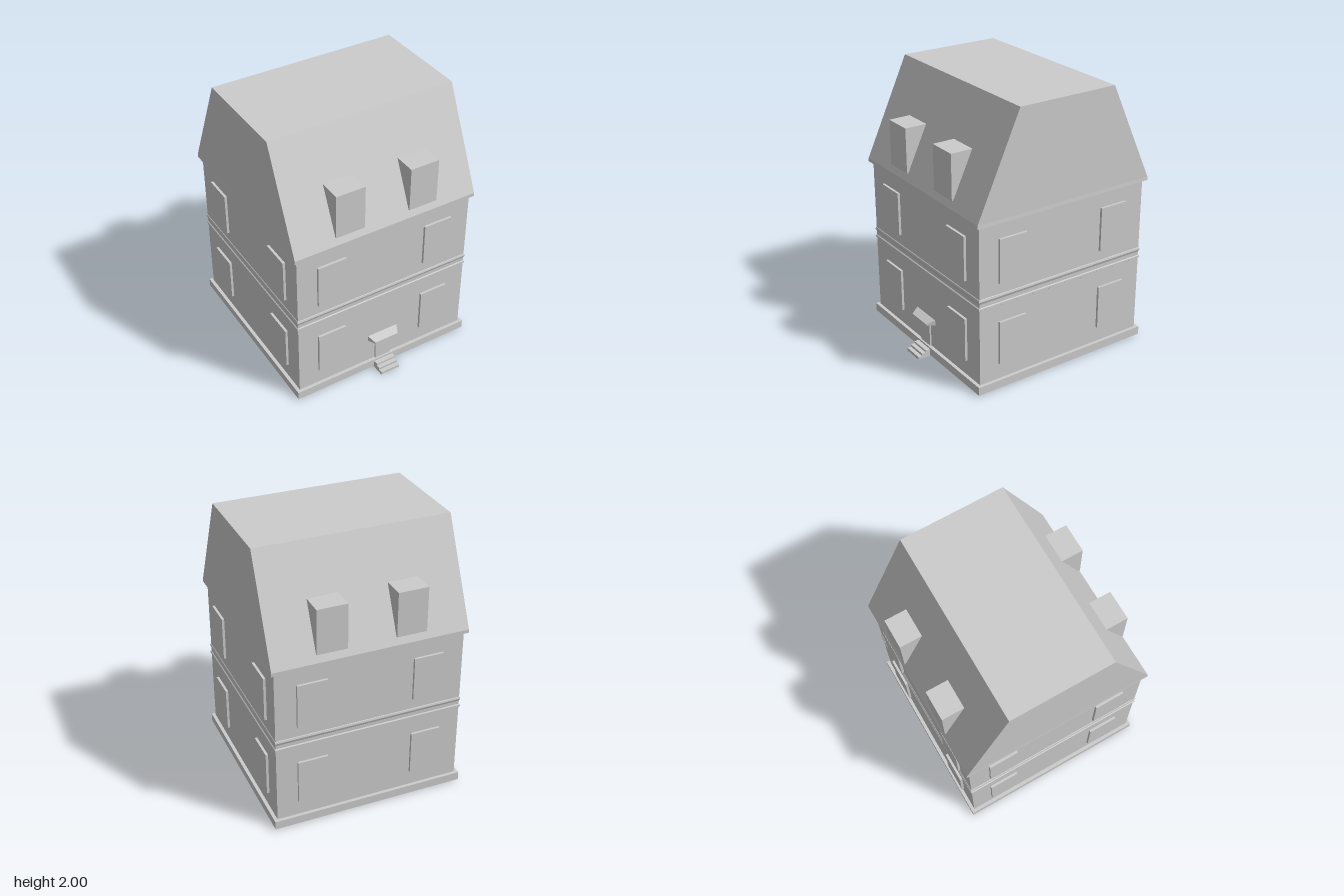
import * as THREE from 'three';

const mat = new THREE.MeshStandardMaterial({ color: 0xcccccc, flatShading: true, side: THREE.DoubleSide });
const WALL = 0.688;   // half width of the square body
const CZ = -0.046;    // body centre in z

function add(parent, name, geometry) {
  const mesh = new THREE.Mesh(geometry, mat);
  mesh.name = name;
  parent.add(mesh);
  return mesh;
}

// Shell through rectangular rings [halfX, halfZ, y], optionally closed on top
function band(rings, capTop = false) {
  const pos = [];
  const corner = ([hx, hz, y], i) => [[hx, y, hz], [hx, y, -hz], [-hx, y, -hz], [-hx, y, hz]][i % 4];
  const quad = (a, b, c, d) => pos.push(...a, ...b, ...c, ...a, ...c, ...d);
  for (let r = 0; r < rings.length - 1; r++) {
    for (let i = 0; i < 4; i++) {
      quad(corner(rings[r], i), corner(rings[r], i + 1), corner(rings[r + 1], i + 1), corner(rings[r + 1], i));
    }
  }
  if (capTop) quad(...[0, 1, 2, 3].map((i) => corner(rings[rings.length - 1], i)));
  const g = new THREE.BufferGeometry();
  g.setAttribute('position', new THREE.Float32BufferAttribute(pos, 3));
  g.computeVertexNormals();
  return g;
}

// Square moulding from [offset from wall, y] pairs
const moulding = (profile) => band(profile.map(([o, y]) => [WALL + o, WALL + o, y]));

function rectPath(path, x0, y0, x1, y1) {
  path.moveTo(x0, y0).lineTo(x1, y0).lineTo(x1, y1).lineTo(x0, y1).closePath();
  return path;
}

// Side profile [z, y] extruded along x, centred on x = 0
function extrudeX(points, width) {
  const shape = new THREE.Shape(points.map(([z, y]) => new THREE.Vector2(-z, y)));
  const g = new THREE.ExtrudeGeometry(shape, { depth: width, bevelEnabled: false });
  g.translate(0, 0, -width / 2);
  g.rotateY(Math.PI / 2);
  return g;
}

// One facade facing +z: wall with openings and raised hollow window panels
function facade(name) {
  const group = new THREE.Group();
  group.name = name;
  const shape = rectPath(new THREE.Shape(), -WALL, 0.07, WALL, 1.25);
  const w = 0.11, h = 0.163, depth = 0.018;
  for (const x of [-0.425, 0.425]) {
    for (const y of [0.352, 0.967]) {
      shape.holes.push(rectPath(new THREE.Path(), x - w, y - h, x + w, y + h));
      const shell = band([[w, h, 0], [w, h, depth]], true);
      shell.rotateX(Math.PI / 2);
      add(group, 'window', shell).position.set(x, y, WALL);
    }
  }
  add(group, 'wall', new THREE.ShapeGeometry(shape)).position.z = WALL;
  return group;
}

export function createModel() {
  const model = new THREE.Group();
  model.name = 'house';
  const body = new THREE.Group();
  body.name = 'body';
  body.position.z = CZ;
  model.add(body);

  // Four matching facades
  ['frontFacade', 'leftFacade', 'backFacade', 'rightFacade'].forEach((name, i) => {
    const side = facade(name);
    side.rotation.y = i * Math.PI / 2;
    body.add(side);
  });

  // Plinth and the two belt mouldings
  add(body, 'plinth', moulding([[0.025, 0.008], [0.025, 0.07], [0, 0.07]]));
  add(body, 'lowerBelt', moulding([[0, 0.64], [0.007, 0.645], [0.007, 0.658], [0, 0.664]]));
  add(body, 'upperBelt', moulding([[0, 0.69], [0.007, 0.709], [0.004, 0.722], [0, 0.725]]));

  // Steep roof with a short fascia and flat top
  add(body, 'roof', band([
    [WALL, WALL, 1.25], [0.713, 0.713, 1.25], [0.711, 0.713, 1.276], [0.705, 0.382, 2],
  ], true));

  // Wedge dormers on both slopes
  for (const dir of [1, -1]) {
    for (const x of [-0.286, 0.286]) {
      const wedge = extrudeX([[0.692, 1.33], [0.702, 1.33], [0.702, 1.66], [0.538, 1.66]], 0.22);
      const dormer = add(body, dir > 0 ? 'frontDormer' : 'backDormer', wedge);
      dormer.position.x = x;
      if (dir < 0) dormer.rotation.y = Math.PI;
    }
  }

  // Door
  add(model, 'door', new THREE.BoxGeometry(0.122, 0.187, 0.012)).position.set(0, 0.1635, 0.648);

  // Canopy: a box tapered towards its front
  const canopy = new THREE.BoxGeometry(0.244, 0.04, 0.058);
  const p = canopy.attributes.position;
  for (let i = 0; i < p.count; i++) {
    if (p.getZ(i) > 0) {
      p.setX(i, p.getX(i) * 0.78);
      if (p.getY(i) > 0) p.setY(i, -0.008);
    }
  }
  canopy.computeVertexNormals();
  add(model, 'doorCanopy', canopy).position.set(0, 0.285, 0.671);

  // Entrance steps
  add(model, 'steps', extrudeX([
    [0.65, 0], [0.763, 0], [0.763, 0.022], [0.733, 0.022], [0.733, 0.04],
    [0.702, 0.04], [0.702, 0.056], [0.65, 0.056],
  ], 0.156));

  return model;
}
